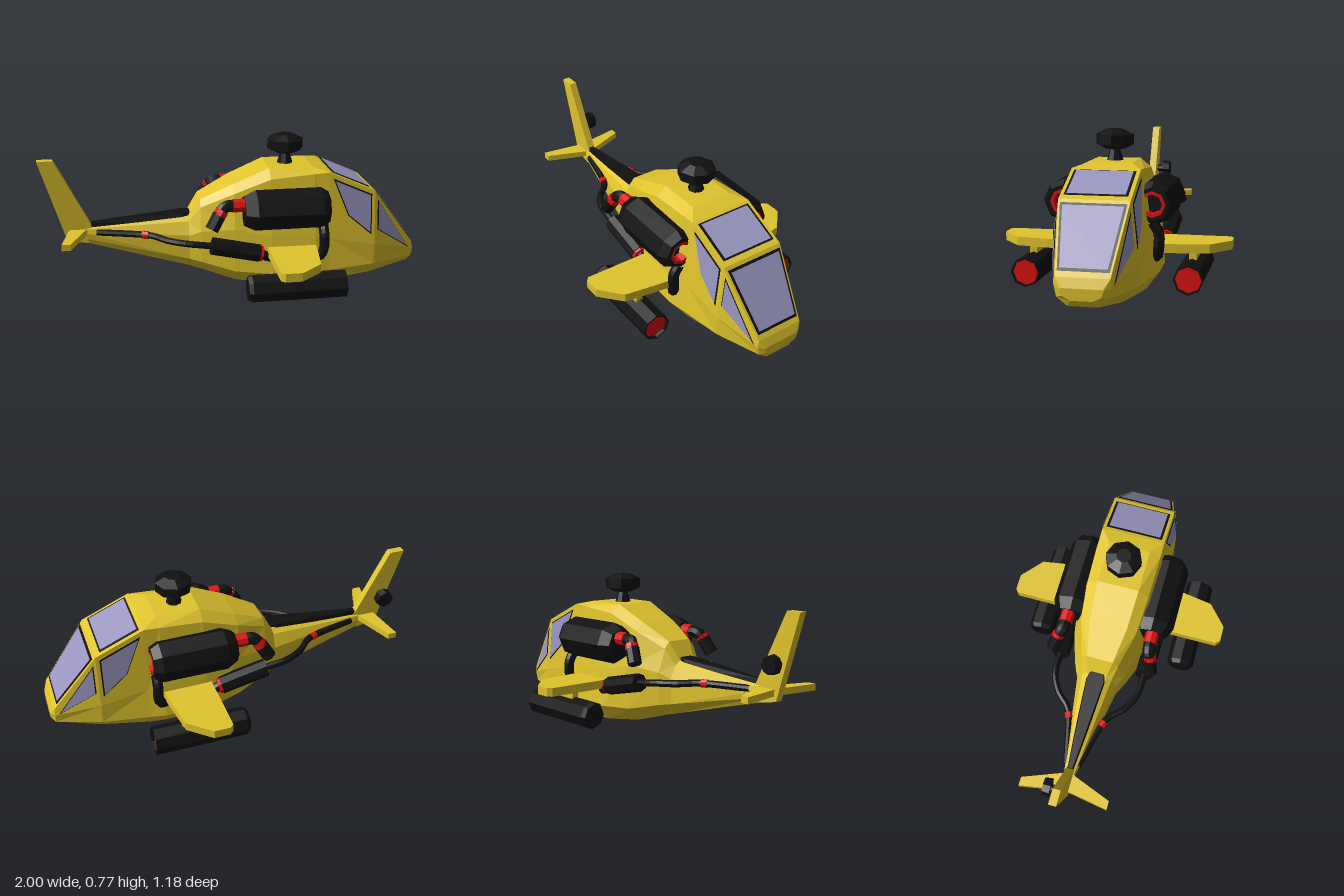
import * as THREE from 'three';

const paint = (color, side = THREE.FrontSide) => new THREE.MeshStandardMaterial({ color, flatShading: true, side });
const yellow = paint(0xe0c42c);
const black = paint(0x101010, THREE.DoubleSide);
const red = paint(0xdd1111, THREE.DoubleSide);
const glass = paint(0x9a96c0, THREE.DoubleSide);
const V = (x, y, z) => new THREE.Vector3(x, y, z);

function add(parent, name, geometry, material) {
  const mesh = new THREE.Mesh(geometry, material);
  mesh.name = name;
  parent.add(mesh);
  return mesh;
}

// Straight eight-sided cylinder from a to b
function rod(parent, name, a, b, ra, rb, material) {
  const dir = b.clone().sub(a);
  const mesh = add(parent, name, new THREE.CylinderGeometry(rb, ra, dir.length(), 8), material);
  mesh.position.copy(a).lerp(b, 0.5);
  mesh.quaternion.setFromUnitVectors(V(0, 1, 0), dir.normalize());
}

// Bent eight-sided pipe through points
function pipe(parent, name, points, r, material) {
  const curve = new THREE.CatmullRomCurve3(points, false, 'centripetal');
  add(parent, name, new THREE.TubeGeometry(curve, points.length * 3, r, 8), material);
}

// Eight-sided turned part along +x; profile is [radius, x]
function turned(parent, name, profile, material, y, z) {
  const geo = new THREE.LatheGeometry(profile.map(p => new THREE.Vector2(...p)), 8);
  geo.rotateZ(-Math.PI / 2);
  add(parent, name, geo, material).position.set(0, y, z);
}

// Flat outline in x,z extruded down from a top height
function slab(parent, name, outline, top, depth) {
  const shape = new THREE.Shape(outline.map(p => new THREE.Vector2(...p)));
  const geo = new THREE.ExtrudeGeometry(shape, { depth, bevelEnabled: false });
  geo.rotateX(Math.PI / 2);
  add(parent, name, geo, yellow).position.y = top;
}

// Skin over cross-sections: each is [x, then y, z pairs from roof to keel], mirrored in z
function loft(sections) {
  const rings = sections.map(([x, ...p]) => {
    const half = [];
    for (let i = 0; i < p.length; i += 2) half.push(V(x, p[i], p[i + 1]));
    return half.concat(half.map(v => V(v.x, v.y, -v.z)).reverse());
  });
  const pos = [];
  const tri = (...vs) => vs.forEach(v => pos.push(v.x, v.y, v.z));
  const n = rings[0].length;
  for (let i = 0; i + 1 < rings.length; i++) {
    for (let j = 0; j < n; j++) {
      const k = (j + 1) % n;
      const [a, b, c, d] = [rings[i][j], rings[i][k], rings[i + 1][k], rings[i + 1][j]];
      if (j < n / 2) { tri(a, b, c); tri(a, c, d); } else { tri(a, b, d); tri(b, c, d); }
    }
  }
  const first = rings[0], last = rings[rings.length - 1];
  for (let j = 1; j + 1 < n; j++) {
    tri(first[0], first[j + 1], first[j]);
    tri(last[0], last[j], last[j + 1]);
  }
  const geo = new THREE.BufferGeometry();
  geo.setAttribute('position', new THREE.Float32BufferAttribute(pos, 3));
  geo.computeVertexNormals();
  return geo;
}

// Glass pane on a dark frame, both lying just proud of the cabin
function windowPane(parent, name, corners) {
  const centre = corners.reduce((s, p) => s.add(p), V(0, 0, 0)).divideScalar(corners.length);
  const normal = corners[1].clone().sub(corners[0]).cross(corners[2].clone().sub(corners[0])).normalize();
  if (normal.dot(centre.clone().sub(V(0.6, 0.2, 0))) < 0) normal.negate();
  const pane = (scale, lift) => {
    const p = corners.map(c => c.clone().sub(centre).multiplyScalar(scale).add(centre).addScaledVector(normal, lift));
    const pts = [];
    for (let i = 1; i + 1 < p.length; i++) pts.push(p[0], p[i], p[i + 1]);
    const geo = new THREE.BufferGeometry().setFromPoints(pts);
    geo.computeVertexNormals();
    return geo;
  };
  add(parent, name + 'Frame', pane(1.09, 0.003), black);
  add(parent, name + 'Glass', pane(1, 0.007), glass);
}

// Engine, exhaust, piping, wing and pod for one side (s = +1 or -1)
function sideEquipment(s) {
  const g = new THREE.Group();
  g.name = s > 0 ? 'nearSideEquipment' : 'farSideEquipment';
  const P = (x, y, z) => V(x, y, s * z);

  turned(g, 'engine', [[0, 0.04], [0.08, 0.04], [0.11, 0.1], [0.11, 0.44], [0.085, 0.482], [0.06, 0.482], [0.05, 0.43], [0, 0.43]], black, 0.43, s * 0.22);
  turned(g, 'intakeRing', [[0.066, 0.485], [0.049, 0.485], [0.047, 0.44]], red, 0.43, s * 0.22);

  rod(g, 'exhaustCollar', P(-0.02, 0.465, 0.23), P(0.05, 0.465, 0.23), 0.036, 0.036, red);
  pipe(g, 'exhaustElbow', [P(-0.015, 0.465, 0.23), P(-0.06, 0.462, 0.235), P(-0.09, 0.43, 0.25)], 0.032, black);
  rod(g, 'exhaustRing', P(-0.095, 0.42, 0.255), P(-0.078, 0.445, 0.245), 0.035, 0.035, red);
  rod(g, 'exhaustTip', P(-0.135, 0.355, 0.27), P(-0.09, 0.43, 0.25), 0.036, 0.036, black);

  // Heat exchanger and the pipe running back along the boom
  rod(g, 'lowerCanister', P(-0.13, 0.255, 0.235), P(0.12, 0.2, 0.235), 0.048, 0.048, black);
  rod(g, 'canisterRing', P(0.1, 0.204, 0.235), P(0.135, 0.197, 0.235), 0.042, 0.042, red);
  pipe(g, 'canisterFeed', [P(0.12, 0.2, 0.235), P(0.17, 0.175, 0.23), P(0.22, 0.16, 0.2)], 0.026, black);
  pipe(g, 'boomPipe', [P(-0.12, 0.253, 0.235), P(-0.25, 0.27, 0.23), P(-0.35, 0.275, 0.18), P(-0.42, 0.28, 0.11), P(-0.48, 0.282, 0.085), P(-0.71, 0.287, 0.03)], 0.018, black);
  rod(g, 'boomPipeRing', P(-0.475, 0.282, 0.086), P(-0.445, 0.281, 0.098), 0.021, 0.021, red);
  pipe(g, 'intakePipe', [P(0.46, 0.34, 0.22), P(0.46, 0.29, 0.25), P(0.46, 0.21, 0.25), P(0.44, 0.17, 0.24), P(0.37, 0.16, 0.2)], 0.027, black);

  // Stub wing with slung pod
  const outline = [[0.165, 0.18], [0.165, 0.57], [0.185, 0.59], [0.27, 0.59], [0.385, 0.49], [0.41, 0.33], [0.43, 0.18]];
  slab(g, 'stubWing', outline.map(([x, z]) => [x, s * z]), 0.225, 0.045);
  add(g, 'pylon', new THREE.BoxGeometry(0.19, 0.07, 0.037), yellow).position.set(0.29, 0.155, s * 0.407);
  turned(g, 'pod', [[0, 0.03], [0.06, 0.03], [0.074, 0.05], [0.074, 0.535], [0.066, 0.535], [0.066, 0.515]], black, 0.077, s * 0.405);
  turned(g, 'podFace', [[0.067, 0.518], [0, 0.518]], red, 0.077, s * 0.405);

  // Side windows, kept on the slope of the cabin wall
  const wall = (slope, pts) => pts.map(([x, y]) => P(x, y, 0.17 - 0.103 * (y - 0.49) - slope * (x - 0.75)));
  windowPane(g, 'rearSideWindow', wall(0.0455, [[0.53, 0.555], [0.725, 0.468], [0.725, 0.268], [0.605, 0.37]]));
  windowPane(g, 'frontSideWindow', wall(0.331, [[0.77, 0.43], [0.95, 0.16], [0.77, 0.28]]));
  return g;
}

export function createModel() {
  const model = new THREE.Group();
  model.name = 'helicopter';

  add(model, 'fuselage', loft([
    [-0.76, 0.31, 0.015, 0.305, 0.025, 0.28, 0.03, 0.25, 0.025, 0.225, 0.012],
    [-0.23, 0.36, 0.05, 0.34, 0.08, 0.27, 0.11, 0.14, 0.11, 0.085, 0.06],
    [-0.17, 0.455, 0.07, 0.42, 0.1, 0.3, 0.14, 0.13, 0.14, 0.07, 0.08],
    [0, 0.54, 0.1, 0.5, 0.15, 0.32, 0.19, 0.09, 0.2, 0.02, 0.13],
    [0.19, 0.62, 0.11, 0.575, 0.165, 0.28, 0.215, 0.08, 0.24, 0, 0.185],
    [0.42, 0.62, 0.11, 0.595, 0.17, 0.26, 0.22, 0.08, 0.245, 0, 0.185],
    [0.5, 0.6, 0.11, 0.6, 0.17, 0.25, 0.208, 0.08, 0.23, 0.005, 0.18],
    [0.75, 0.49, 0.11, 0.49, 0.17, 0.2, 0.2, 0.09, 0.2, 0.015, 0.13],
    [0.98, 0.18, 0.08, 0.18, 0.126, 0.14, 0.13, 0.09, 0.12, 0.05, 0.07],
    [1, 0.135, 0.07, 0.135, 0.095, 0.13, 0.1, 0.1, 0.09, 0.08, 0.05],
  ]), yellow);

  // Dark spine along the boom
  add(model, 'boomSpine', loft([
    [-0.74, 0.337, 0.012, 0.29, 0.02],
    [-0.26, 0.373, 0.045, 0.33, 0.058],
    [-0.2, 0.378, 0.03, 0.33, 0.045],
  ]), black);

  const roofY = x => 0.6 - 0.44 * (x - 0.5);
  const screenY = x => 0.49 - 1.348 * (x - 0.75);
  const across = (x0, z0, x1, z1, y) => [V(x0, y(x0), z0), V(x1, y(x1), z1), V(x1, y(x1), -z1), V(x0, y(x0), -z0)];
  windowPane(model, 'roofWindow', across(0.525, 0.14, 0.715, 0.14, roofY));
  windowPane(model, 'windshield', across(0.77, 0.145, 0.955, 0.11, screenY));

  // Rotor mast and hub
  const hub = [[0.045, 0.61], [0.025, 0.675], [0.05, 0.677], [0.095, 0.7], [0.095, 0.75], [0.04, 0.775], [0, 0.775]];
  add(model, 'rotorHub', new THREE.LatheGeometry(hub.map(p => new THREE.Vector2(...p)), 8), black).position.x = 0.295;

  // Tail fin, stabiliser and tail rotor hub
  const fin = new THREE.Shape([[-1, 0.68], [-0.865, 0.245], [-0.755, 0.225], [-0.735, 0.315], [-0.92, 0.68]].map(p => new THREE.Vector2(...p)));
  add(model, 'tailFin', new THREE.ExtrudeGeometry(fin, { depth: 0.04, bevelEnabled: false }), yellow).position.z = -0.02;
  slab(model, 'stabiliser', [[-0.89, 0.235], [-0.845, 0.235], [-0.755, 0], [-0.845, -0.235], [-0.89, -0.235], [-0.85, 0]], 0.303, 0.033);
  rod(model, 'tailRotorShaft', V(-0.88, 0.43, 0), V(-0.88, 0.43, -0.06), 0.02, 0.02, black);
  rod(model, 'tailRotorHub', V(-0.88, 0.43, -0.055), V(-0.88, 0.43, -0.095), 0.05, 0.045, black);

  for (const s of [1, -1]) model.add(sideEquipment(s));
  return model;
}
